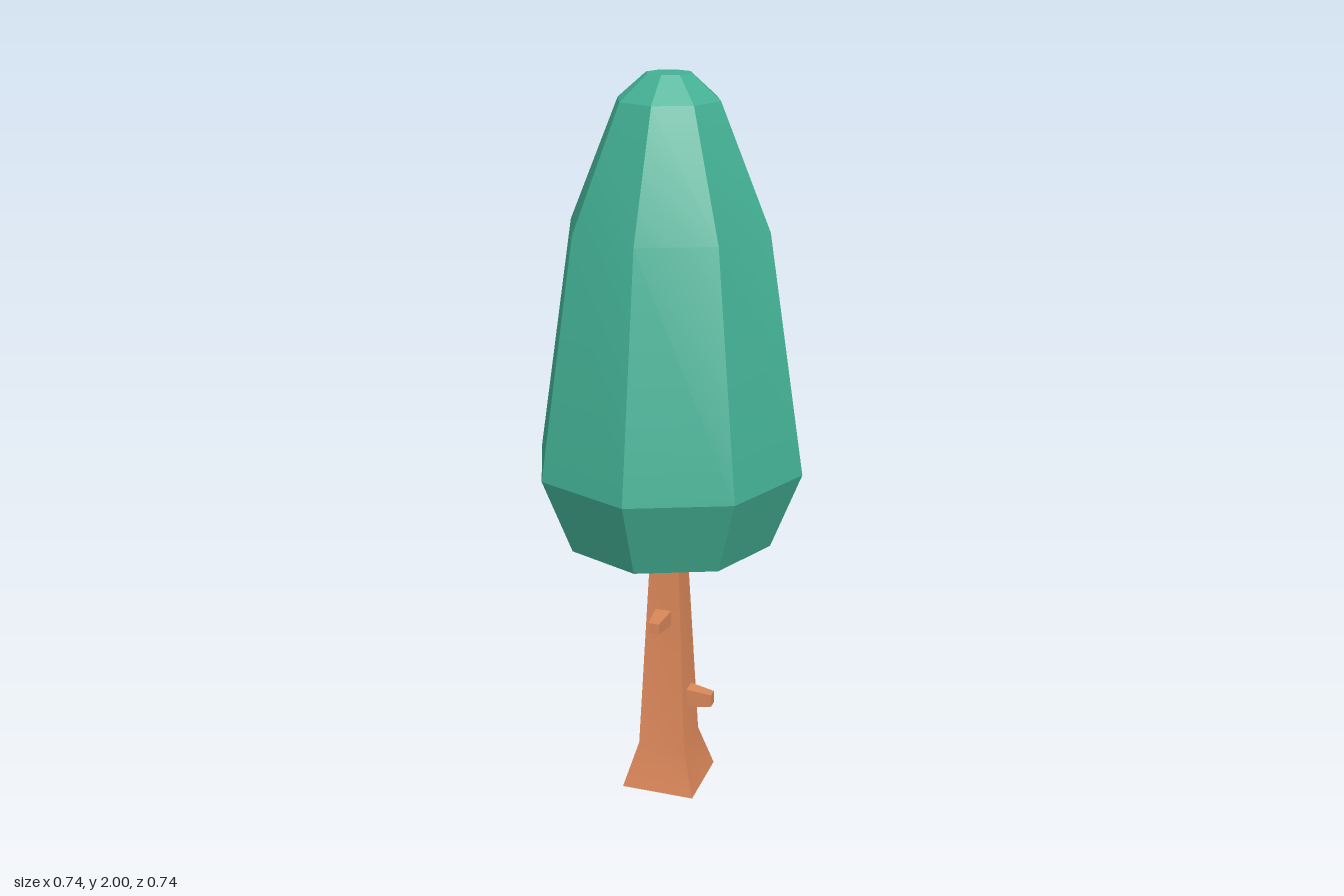
import * as THREE from 'three';
import { toCreasedNormals } from 'three/addons/utils/BufferGeometryUtils.js';

const CREASE = 0.33; // keeps all but the gentlest edges sharp

// Faceted solid turned around y from [radius, height] points, bottom to top
function facetedLathe(profile, sides, startAngle) {
  const points = profile.map(([r, y]) => new THREE.Vector2(r, y));
  return toCreasedNormals(new THREE.LatheGeometry(points, sides, startAngle), CREASE);
}

// Tapered square peg pointing along +z, starting at z = 0
function pegGeometry(baseHalf, tipHalf, length, heightScale) {
  const g = new THREE.CylinderGeometry(tipHalf * Math.SQRT2, baseHalf * Math.SQRT2, length, 4);
  g.rotateY(Math.PI / 4);
  g.translate(0, length / 2, 0);
  g.rotateX(Math.PI / 2);
  g.scale(1, heightScale, 1);
  return toCreasedNormals(g, CREASE);
}

export function createModel() {
  const group = new THREE.Group();
  group.name = 'tree';
  const bark = new THREE.MeshStandardMaterial({ color: 0xd98659 });
  const leaf = new THREE.MeshStandardMaterial({ color: 0x43b094 });

  const add = (name, geometry, material) => {
    const mesh = new THREE.Mesh(geometry, material);
    mesh.name = name;
    group.add(mesh);
    return mesh;
  };

  // Square trunk with a flared foot
  const trunkProfile = [[0, 0], [0.104, 0], [0.067, 0.13], [0.038, 0.765], [0, 0.765]]
    .map(([half, y]) => [half * Math.SQRT2, y]);
  add('trunk', facetedLathe(trunkProfile, 4, Math.PI / 4), bark);

  // Eight-sided crown with corners on the axes
  add('foliage', facetedLathe([
    [0, 0.762], [0.287, 0.762], [0.37, 0.975], [0.27, 1.615],
    [0.136, 1.935], [0.06, 2], [0, 2],
  ], 8, 0), leaf);

  // Two branch stubs: one to the left, one to the front
  const leftBranch = add('leftBranch', pegGeometry(0.023, 0.014, 0.08, 1.28), bark);
  leftBranch.position.set(0.05, 0.269, 0);
  leftBranch.rotation.y = Math.PI / 2;

  const frontBranch = add('frontBranch', pegGeometry(0.023, 0.015, 0.09, 1), bark);
  frontBranch.position.set(0, 0.526, 0.042);
  frontBranch.rotation.x = -0.05;

  return group;
}
